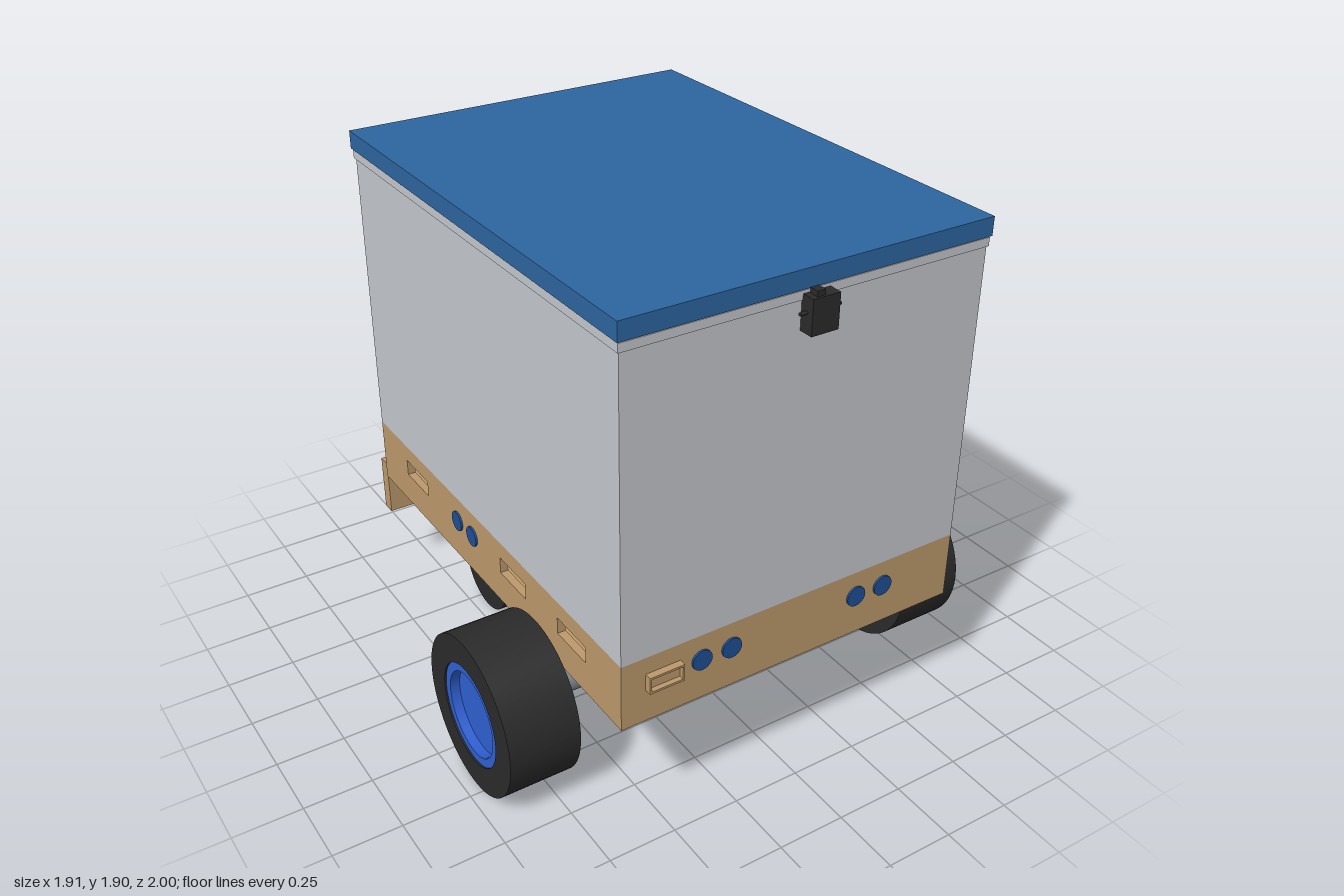
import * as THREE from 'three';

const mat = (name, color) => {
  const m = new THREE.MeshStandardMaterial({ color });
  m.name = name;
  return m;
};

export function createModel() {
  const root = new THREE.Group();
  root.name = 'deliveryCart';
  const wood = mat('wood', 0xbc996b);
  const grey = mat('panelGrey', 0xc4c7cc);
  const lidBlue = mat('lidBlue', 0x2d66a0);
  const hubBlue = mat('hubBlue', 0x2f5fd0);
  const sensorBlue = mat('sensorBlue', 0x1f4f96);
  const metal = mat('metal', 0x8f949b);
  const black = mat('black', 0x2b2b2b);

  const add = (parent, name, geo, material, x = 0, y = 0, z = 0) => {
    const m = new THREE.Mesh(geo, material);
    m.name = name;
    m.position.set(x, y, z);
    parent.add(m);
    return m;
  };
  // Box given by its limits on each axis
  const box = (parent, name, material, x0, x1, y0, y1, z0, z1) =>
    add(parent, name, new THREE.BoxGeometry(x1 - x0, y1 - y0, z1 - z0), material,
      (x0 + x1) / 2, (y0 + y1) / 2, (z0 + z1) / 2);
  const cyl = (parent, name, material, axis, r, len, x, y, z, seg = 32) => {
    const g = new THREE.CylinderGeometry(r, r, len, seg);
    if (axis === 'x') g.rotateZ(-Math.PI / 2);
    if (axis === 'z') g.rotateX(Math.PI / 2);
    return add(parent, name, g, material, x, y, z);
  };
  const rect = (T, x0, x1, y0, y1) => {
    const s = new T();
    s.moveTo(x0, y0);
    s.lineTo(x1, y0);
    s.lineTo(x1, y1);
    s.lineTo(x0, y1);
    s.closePath();
    return s;
  };

  // Cargo box and lid
  box(root, 'cargoBox', grey, -0.67, 0.67, 0.72, 1.8, -0.83, 0.945);
  box(root, 'boxRim', grey, -0.675, 0.675, 1.8, 1.83, -0.838, 0.95);
  box(root, 'lid', lidBlue, -0.68, 0.68, 1.835, 1.9, -0.845, 0.955);
  box(root, 'lidSeal', black, -0.665, 0.665, 1.83, 1.835, -0.825, 0.94);

  // Hollow wooden base with slots cut in both sides
  box(root, 'baseFloor', wood, -0.67, 0.67, 0.47, 0.5, -0.83, 0.945);
  box(root, 'baseDeck', wood, -0.64, 0.64, 0.69, 0.72, -0.8, 0.915);
  box(root, 'frontWall', wood, -0.64, 0.64, 0.5, 0.72, 0.915, 0.945);
  box(root, 'backWall', wood, -0.64, 0.64, 0.5, 0.72, -0.83, -0.8);
  for (const s of [1, -1]) {
    const wall = rect(THREE.Shape, -0.83, 0.945, 0.5, 0.72);
    for (const z of [-0.61, 0.15, 0.55])
      wall.holes.push(rect(THREE.Path, z, z + 0.18, 0.592, 0.655));
    const g = new THREE.ExtrudeGeometry(wall, { depth: 0.03, bevelEnabled: false });
    g.rotateY(-Math.PI / 2);
    add(root, 'sideWall', g, wood, s > 0 ? 0.67 : -0.64);
  }
  const battery = cyl(root, 'battery', lidBlue, 'z', 0.045, 0.15, 0.45, 0.625, 0.655);
  battery.scale.x = 2;
  box(root, 'innerPost', grey, 0.3, 0.36, 0.5, 0.69, 0.295, 0.33);

  // Front switch frame
  const frame = rect(THREE.Shape, -0.58, -0.45, 0.592, 0.656);
  frame.holes.push(rect(THREE.Path, -0.573, -0.457, 0.6, 0.648));
  add(root, 'switchFrame', new THREE.ExtrudeGeometry(frame, { depth: 0.025, bevelEnabled: false }),
    wood, 0, 0, 0.945);
  box(root, 'switchPlate', wood, -0.573, -0.457, 0.6, 0.648, 0.945, 0.952);

  // Flush range sensors on the front and both sides
  for (const s of [1, -1]) {
    for (const x of [0.255, 0.37])
      cyl(root, 'frontSensor', sensorBlue, 'z', 0.038, 0.05, s * x, 0.624, 0.927, 20);
    for (const z of [-0.06, -0.176])
      cyl(root, 'sideSensor', sensorBlue, 'x', 0.038, 0.05, s * 0.652, 0.624, z, 20);
  }

  // Rear bumper with three sensor pairs, the outer two turned outward
  box(root, 'bumper', wood, -0.667, 0.663, 0.3, 0.523, -0.885, -0.83);
  const sensorPair = (x, z, turn) => {
    const p = new THREE.Group();
    p.name = 'rearSensorPair';
    p.position.set(x, 0.413, z);
    p.rotation.y = turn;
    for (const s of [1, -1])
      cyl(p, 'sensorEye', sensorBlue, 'z', 0.036, 0.06, s * 0.06, 0, -0.035, 20);
    box(p, 'sensorBoard', sensorBlue, -0.1, 0.1, -0.042, 0.042, -0.006, 0.002);
    root.add(p);
  };
  sensorPair(0, -0.891, 0);
  sensorPair(0.42, -0.887, -0.56);
  sensorPair(-0.42, -0.887, 0.56);

  // Rear camera on a small mount, tipped downward
  box(root, 'cameraMount', black, -0.06, 0.06, 1.32, 1.505, -0.853, -0.83);
  const cam = new THREE.Group();
  cam.name = 'camera';
  cam.position.set(0, 1.403, -0.925);
  cam.rotation.x = -0.2;
  box(cam, 'cameraBody', black, -0.2, 0.2, -0.06, 0.06, -0.06, 0.06);
  cyl(cam, 'cameraLens', black, 'z', 0.035, 0.02, 0, 0, -0.062);
  box(cam, 'cameraArm', black, -0.03, 0.03, -0.03, 0.03, 0.05, 0.09);
  root.add(cam);

  // Front latch
  box(root, 'latch', black, -0.05, 0.05, 1.7, 1.82, 0.945, 0.998);
  box(root, 'latchTab', black, -0.03, 0.0, 1.82, 1.838, 0.957, 0.99);
  cyl(root, 'latchPin', black, 'x', 0.006, 0.15, 0, 1.768, 0.97, 12);

  // Drive wheels and motors, built on +x and mirrored by the sign
  const tyre = [[0.187, -0.131], [0.29, -0.131], [0.29, 0.131], [0.187, 0.131], [0.187, -0.131]];
  const hub = [[0, -0.12], [0.187, -0.12], [0.187, 0.125], [0.155, 0.125], [0.155, 0.09], [0, 0.09]];
  // One lathe per profile edge keeps the corners sharp
  const turned = (parent, name, pts, material, flip) => {
    const part = new THREE.Group();
    part.name = name;
    for (let i = 0; i + 1 < pts.length; i++) {
      const g = new THREE.LatheGeometry(
        [pts[i], pts[i + 1]].map(([r, h]) => new THREE.Vector2(r, h)), 64);
      g.rotateZ(-Math.PI / 2);
      if (flip) g.rotateY(Math.PI);
      add(part, name + 'Face', g, material);
    }
    parent.add(part);
  };
  for (const s of [1, -1]) {
    const w = new THREE.Group();
    w.name = 'driveWheel';
    w.position.set(s * 0.823, 0.291, 0.437);
    turned(w, 'tyre', tyre, black, s < 0);
    turned(w, 'hub', hub, hubBlue, s < 0);
    root.add(w);

    const d = new THREE.Group();
    d.name = 'driveUnit';
    cyl(d, 'hubShaft', hubBlue, 'x', 0.05, 0.075, s * 0.68, 0.295, 0.43);
    cyl(d, 'gearMotor', metal, 'x', 0.079, 0.27, s * 0.505, 0.328, 0.437);
    cyl(d, 'motorCap', black, 'x', 0.074, 0.07, s * 0.342, 0.325, 0.437);
    box(d, 'motorPlug', black, s * 0.335 - 0.03, s * 0.335 + 0.03, 0.3, 0.35, 0.44, 0.525);
    box(d, 'bracketPlate', metal, s * 0.641 - 0.004, s * 0.641 + 0.004, 0.21, 0.47, 0.35, 0.525);
    box(d, 'bracketTop', metal, s * 0.58 - 0.06, s * 0.58 + 0.06, 0.462, 0.47, 0.35, 0.525);
    root.add(d);
  }

  // Rear casters
  for (const s of [1, -1]) {
    const c = new THREE.Group();
    c.name = 'caster';
    c.position.x = s * 0.4;
    box(c, 'casterPad', wood, -0.115, 0.115, 0.437, 0.47, -0.685, -0.4);
    cyl(c, 'swivel', metal, 'y', 0.08, 0.045, 0, 0.415, -0.54);
    box(c, 'forkTop', metal, -0.072, 0.072, 0.385, 0.4, -0.6, -0.385);
    for (const k of [1, -1]) {
      box(c, 'forkLeg', metal, k * 0.066 - 0.006, k * 0.066 + 0.006, 0.14, 0.4, -0.475, -0.388);
      cyl(c, 'axleNut', metal, 'x', 0.018, 0.012, k * 0.078, 0.17, -0.432, 16);
    }
    cyl(c, 'axle', metal, 'x', 0.012, 0.16, 0, 0.17, -0.432, 16);
    cyl(c, 'casterWheel', black, 'x', 0.166, 0.104, 0, 0.168, -0.432, 48);
    root.add(c);
  }
  return root;
}
